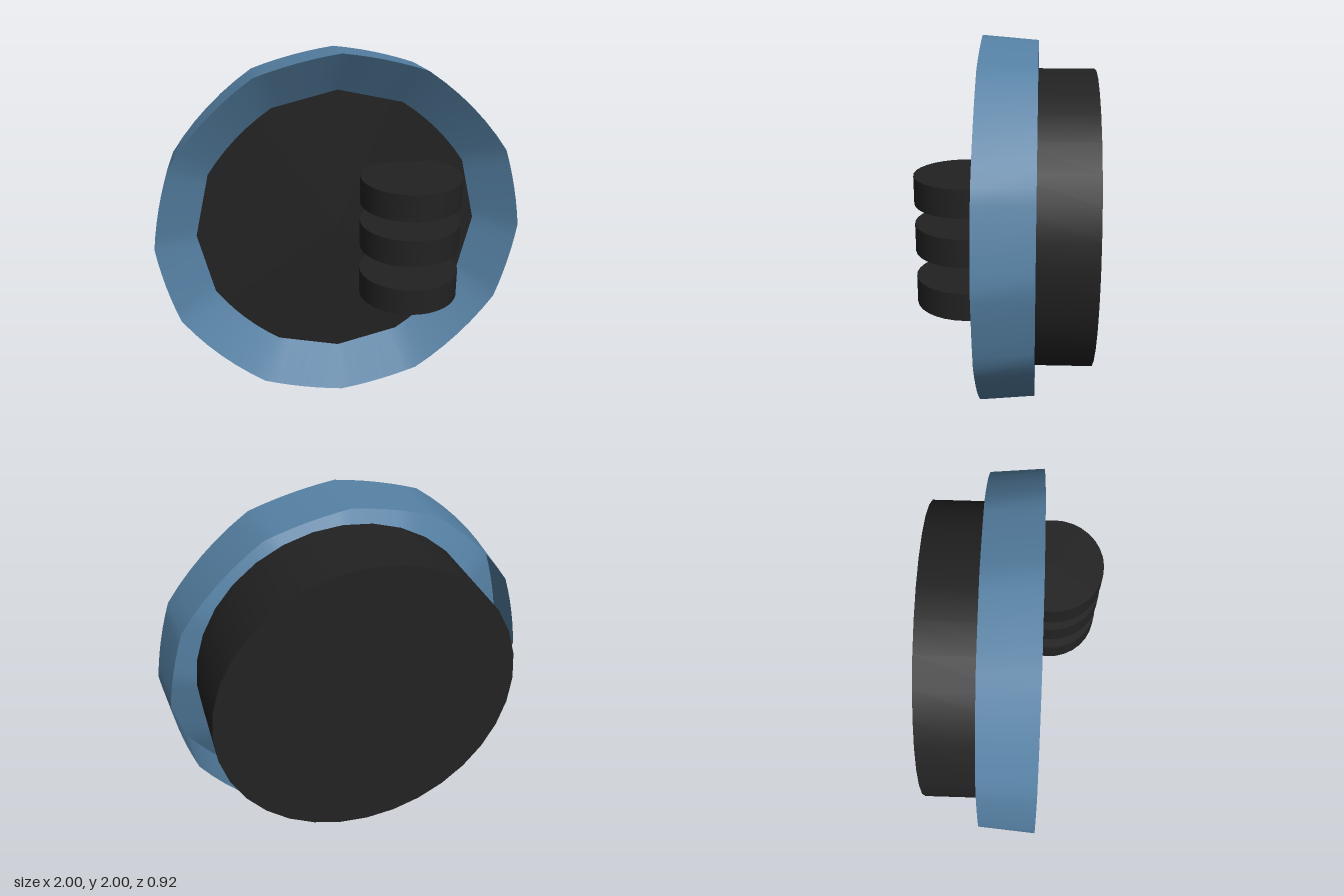
import * as THREE from 'three';

const blue = new THREE.MeshStandardMaterial({ color: 0x5580a3, side: THREE.DoubleSide });
const black = new THREE.MeshStandardMaterial({ color: 0x222222 });

// Twelve-cornered outline: straight or slightly bulged spans between the corners
function outline(radius, shortBulge, longBulge, z, steps = 6) {
  const corners = [];
  for (let q = 0; q < 4; q++) {
    for (const a of [0, 26.57, 63.43]) {
      const t = THREE.MathUtils.degToRad(a + q * 90);
      corners.push(new THREE.Vector2(Math.cos(t), Math.sin(t)).multiplyScalar(radius));
    }
  }
  const points = [];
  corners.forEach((a, i) => {
    const b = corners[(i + 1) % 12];
    const out = a.clone().add(b).normalize();
    const bulge = i % 3 === 1 ? longBulge : shortBulge;
    for (let s = 0; s < steps; s++) {
      const t = s / steps;
      const p = a.clone().lerp(b, t).addScaledVector(out, bulge * 4 * t * (1 - t));
      points.push(new THREE.Vector3(p.x, p.y, z));
    }
  });
  return points;
}

// Closed band between two outlines
function band(ringA, ringB) {
  const n = ringA.length, index = [];
  for (let i = 0; i < n; i++) {
    const j = (i + 1) % n;
    index.push(i, j, n + i, j, n + j, n + i);
  }
  const geometry = new THREE.BufferGeometry().setFromPoints([...ringA, ...ringB]);
  geometry.setIndex(index);
  geometry.computeVertexNormals();
  return geometry;
}

function addMesh(parent, name, geometry, material) {
  const mesh = new THREE.Mesh(geometry, material);
  mesh.name = name;
  parent.add(mesh);
  return mesh;
}

export function createModel() {
  const model = new THREE.Group();
  model.name = 'roundFixture';

  // Thin bezel: a funnel in front and a tapering outer wall, open at the back
  const bezel = new THREE.Group();
  bezel.name = 'bezel';
  bezel.position.y = 1;
  const hole = outline(0.78, 0, 0.025, -0.01);
  const front = outline(1, 0.012, 0.03, 0.132);
  const back = outline(0.975, 0.012, 0.03, -0.16);
  addMesh(bezel, 'bezelFunnel', band(hole, front), blue);
  addMesh(bezel, 'bezelWall', band(back, front).scale(1, 1, 1), blue);
  // The wall faces outward
  const wall = bezel.getObjectByName('bezelWall').geometry;
  wall.setIndex(Array.from(band(back, front).index.array));
  wall.computeVertexNormals();
  model.add(bezel);

  // Drum whose front cap forms the floor of the bezel
  const drum = addMesh(model, 'drum', new THREE.CylinderGeometry(0.815, 0.815, 0.448, 32), black);
  drum.rotation.x = Math.PI / 2;
  drum.position.set(0, 1.004, -0.238);

  // Three stacked discs set into the floor
  const discs = new THREE.Group();
  discs.name = 'discs';
  for (const y of [0.743, 1.029, 1.283]) {
    addMesh(discs, 'disc', new THREE.CylinderGeometry(0.27, 0.27, 0.147, 32), black)
      .position.set(0.36, y, 0.192);
  }
  model.add(discs);

  return model;
}
